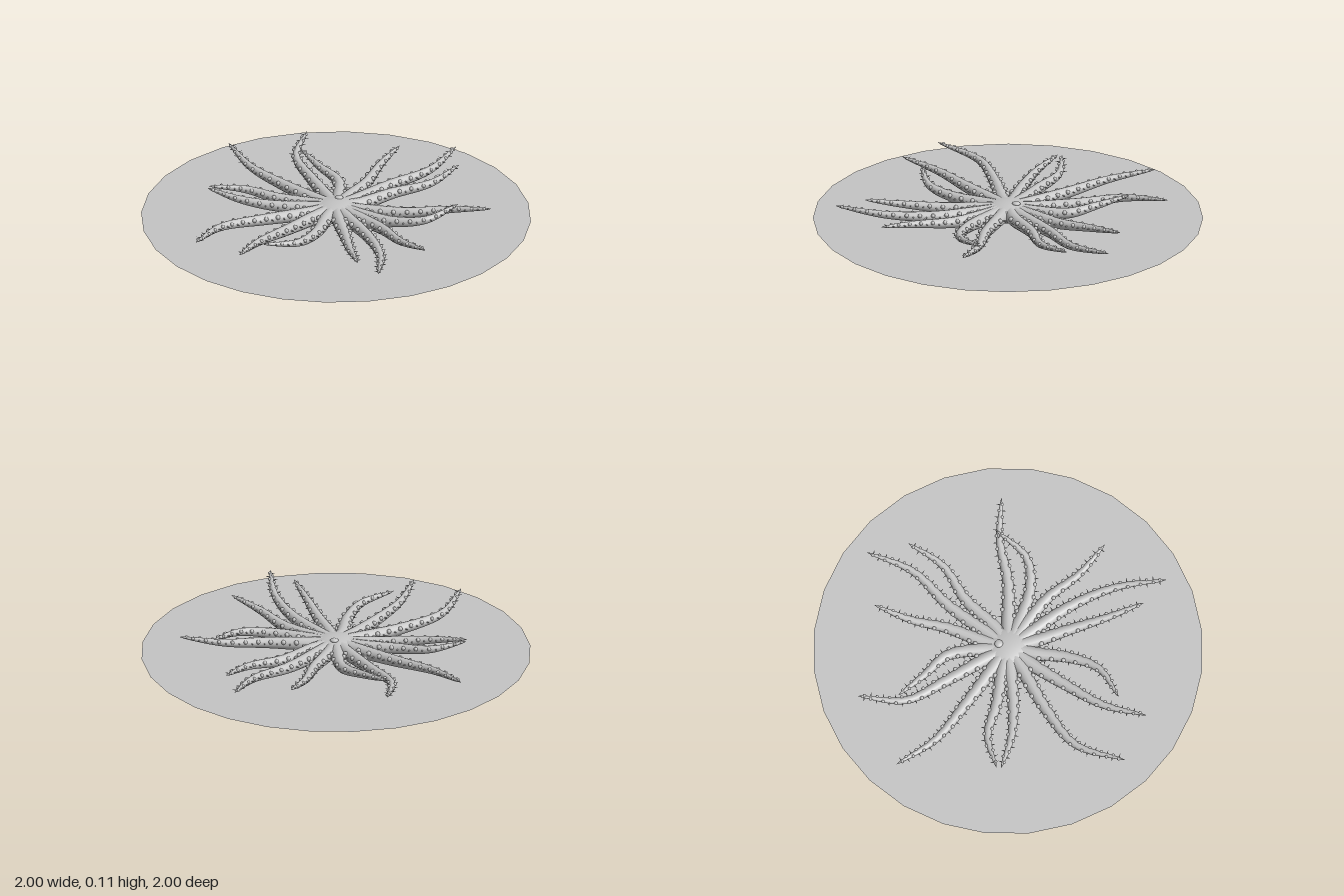
import * as THREE from 'three';
import { mergeGeometries } from 'three/addons/utils/BufferGeometryUtils.js';

// Each arm: root angle in degrees, tip x, tip z, sideways bow at one and two thirds
const ARMS = [
  [-113, -0.25, -0.83, -0.03, -0.05],
  [-86, 0.17, -0.8, -0.05, -0.09],
  [-62, 0.065, -0.62, 0.065, 0.03],
  [-42, 0.545, -0.465, 0.01, -0.01],
  [-21, 0.81, -0.345, 0.01, 0.055],
  [0, 0.74, -0.14, 0, 0.045],
  [32, 0.695, 0.395, 0.01, -0.02],
  [54, 0.56, 0.28, 0.1, 0.12],
  [67, 0.2, 0.71, -0.02, 0.01],
  [86, -0.13, 0.875, -0.06, -0.065],
  [107, -0.175, 0.71, 0, 0.005],
  [135, -0.54, 0.33, -0.07, -0.09],
  [159, -0.7, 0.395, 0.025, 0.04],
  [180, -0.85, 0.175, 0.075, 0.11],
  [207, -0.55, -0.385, -0.03, -0.035],
  [225, -0.535, -0.405, 0.02, 0.055],
];
const UP = new THREE.Vector3(0, 1, 0);
const radiusAt = (t) => 0.037 * Math.pow(1 - t, 0.6) + 0.001;

// Curve that starts inside the body, bows sideways and lifts towards its tip
function armCurve([degrees, tipX, tipZ, bow1, bow2]) {
  const a = THREE.MathUtils.degToRad(degrees);
  const root = new THREE.Vector3(0.135 * Math.cos(a), 0.055, 0.135 * Math.sin(a));
  const chord = new THREE.Vector3(tipX, 0.102, tipZ).sub(root);
  const side = new THREE.Vector3(-chord.z, 0, chord.x).normalize();
  const along = (f, bow) => {
    const p = root.clone().addScaledVector(chord, f).addScaledVector(side, bow);
    p.y = 0.055 + 0.047 * f ** 2;
    return p;
  };
  const inner = new THREE.Vector3(root.x * 0.5, 0.055, root.z * 0.5);
  return new THREE.CatmullRomCurve3(
    [inner, root, along(1 / 3, bow1), along(2 / 3, bow2), along(1, 0)]);
}

// Tube whose rings shrink along the arm
function taperedTube(curve, rings, sides) {
  const geo = new THREE.TubeGeometry(curve, rings, 1, sides);
  const pos = geo.attributes.position;
  const v = new THREE.Vector3();
  for (let i = 0; i <= rings; i++) {
    const c = curve.getPointAt(i / rings);
    for (let j = 0; j <= sides; j++) {
      const k = i * (sides + 1) + j;
      v.fromBufferAttribute(pos, k).sub(c).multiplyScalar(radiusAt(i / rings)).add(c);
      pos.setXYZ(k, v.x, v.y, v.z);
    }
  }
  return geo;
}

// Rounded knobs and thin side spines, spaced evenly along an arm
function armStuds(curve) {
  const knobs = [], spines = [];
  const count = Math.round(curve.getLength() / 0.033);
  for (let i = 3; i < count; i++) {
    const t = i / count;
    const c = curve.getPointAt(t);
    const side = new THREE.Vector3().crossVectors(curve.getTangentAt(t), UP).normalize();
    const r = radiusAt(t);
    const s = i % 2 ? 1 : -1;
    const outward = (sign, angle) => side.clone()
      .multiplyScalar(sign * Math.cos(angle)).addScaledVector(UP, Math.sin(angle));

    const k = c.clone().addScaledVector(outward(s, 0.5), r);
    knobs.push(new THREE.SphereGeometry(0.014 - 0.006 * t, 8, 6).translate(k.x, k.y, k.z));

    const dir = outward(-s, 0.15);
    const p = c.clone().addScaledVector(dir, r + 0.007);
    spines.push(new THREE.ConeGeometry(0.005, 0.026, 5)
      .applyQuaternion(new THREE.Quaternion().setFromUnitVectors(UP, dir))
      .translate(p.x, p.y, p.z));
  }
  return { knobs: mergeGeometries(knobs), spines: mergeGeometries(spines) };
}

export function createModel() {
  const model = new THREE.Group();
  model.name = 'seaStar';
  const grey = new THREE.MeshStandardMaterial({ color: 0xc4c4c4, side: THREE.DoubleSide });
  grey.name = 'light grey';
  const add = (parent, name, geo) => {
    const mesh = new THREE.Mesh(geo, grey);
    mesh.name = name;
    parent.add(mesh);
    return mesh;
  };

  // Flat ground disc
  add(model, 'baseDisc', new THREE.CircleGeometry(1, 28).rotateX(-Math.PI / 2)).position.y = 0.008;

  // Flattened central body with a small off-centre plate
  const body = add(model, 'body', new THREE.SphereGeometry(1, 32, 20));
  body.scale.set(0.132, 0.05, 0.132);
  body.position.y = 0.05;
  const plate = add(model, 'sievePlate', new THREE.SphereGeometry(1, 14, 10));
  plate.scale.set(0.022, 0.011, 0.022);
  plate.position.set(0.032, 0.097, 0.036 * -1);

  // Sixteen wavy arms
  ARMS.forEach((spec, i) => {
    const arm = new THREE.Group();
    arm.name = `arm${i + 1}`;
    const curve = armCurve(spec);
    const studs = armStuds(curve);
    add(arm, 'armTube', taperedTube(curve, 36, 12));
    add(arm, 'knobs', studs.knobs);
    add(arm, 'spines', studs.spines);
    model.add(arm);
  });
  return model;
}
